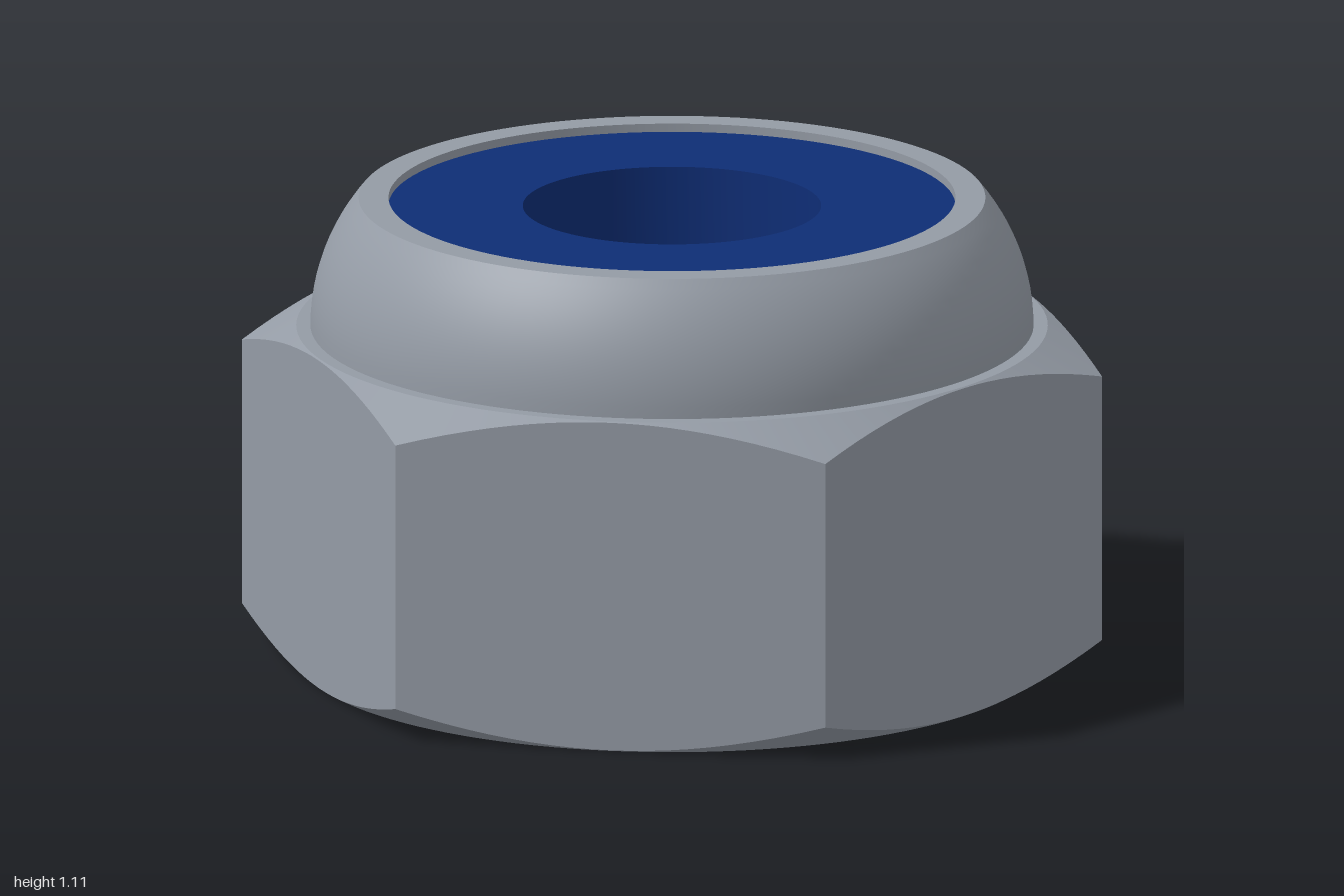
import * as THREE from 'three';
import { toCreasedNormals } from 'three/addons/utils/BufferGeometryUtils.js';

const SEGMENTS = 120;
const CORNER_R = 1.0223;                       // hexagon corner radius
const APOTHEM = CORNER_R * Math.cos(Math.PI / 6);
const TURN = THREE.MathUtils.degToRad(18);     // direction of the first corner
const HEX_TOP = 0.8;
const TOP = 1.11;

const steel = new THREE.MeshStandardMaterial({ color: 0x949ba5 });
steel.name = 'steel';
const nylon = new THREE.MeshStandardMaterial({ color: 0x0e2d75 });
nylon.name = 'blue nylon';

// Outer profiles run upward, inner ones downward.
function lathe(points) {
  return new THREE.LatheGeometry(points.map(([r, y]) => new THREE.Vector2(r, y)), SEGMENTS, TURN);
}

function part(name, geometry, material, crease = 0.4) {
  const mesh = new THREE.Mesh(toCreasedNormals(geometry, crease), material);
  mesh.name = name;
  return mesh;
}

// Lathe whose outer rows are pushed out to a hexagon and sloped by the chamfer cone.
function hexGeometry() {
  const flat = APOTHEM - 0.004;
  const slope = 0.08 / (CORNER_R - flat);
  const geometry = lathe([
    [0.457, 0], [flat, 0], [1, 0.1], [1, HEX_TOP - 0.1], [flat, HEX_TOP], [0.66, HEX_TOP],
  ]);
  const pos = geometry.attributes.position;
  for (let i = 0; i < pos.count; i++) {
    const x = pos.getX(i), y = pos.getY(i), z = pos.getZ(i);
    const r = Math.hypot(x, z);
    if (r < 0.95) continue;
    const sector = Math.PI / 3;
    const a = (Math.atan2(x, z) - TURN + 4 * Math.PI + 1e-7) % sector;
    const hexR = APOTHEM / Math.cos(a - sector / 2);
    const drop = (hexR - flat) * slope;
    pos.setXYZ(i, x / r * hexR, y < HEX_TOP / 2 ? drop : HEX_TOP - drop, z / r * hexR);
  }
  return geometry;
}

// Countersink followed by ring grooves, listed from top to bottom.
function threadGeometry() {
  const crest = 0.374, root = 0.435, pitch = 0.18, lead = 0.08;
  const points = [[crest, HEX_TOP]];
  for (let k = 3; k >= 0; k--) {
    const y = lead + k * pitch;
    points.push([crest, y + 0.165], [root, y + 0.105], [root, y + 0.075], [crest, y + 0.015]);
  }
  points.push([crest, lead], [0.457, 0]);
  return lathe(points);
}

// Rounded collar, its rim and the pocket for the insert.
function collarGeometry() {
  const points = [];
  const radius = 0.482, sweep = Math.asin((TOP - HEX_TOP) / radius);
  for (let i = 0; i <= 12; i++) {
    const a = sweep * i / 12;
    points.push([0.848 - radius + radius * Math.cos(a), HEX_TOP + radius * Math.sin(a)]);
  }
  points.push([0.665, TOP], [0.665, HEX_TOP]);
  return lathe(points);
}

export function createModel() {
  const nut = new THREE.Group();
  nut.name = 'lockNut';
  nut.add(
    part('hexBody', hexGeometry(), steel),
    part('threadedBore', threadGeometry(), steel),
    part('collar', collarGeometry(), steel),
    part('insertRing', lathe([
      [0.35, HEX_TOP], [0.665, HEX_TOP], [0.665, 1.09], [0.35, 1.09], [0.35, HEX_TOP],
    ]), nylon),
  );
  return nut;
}
